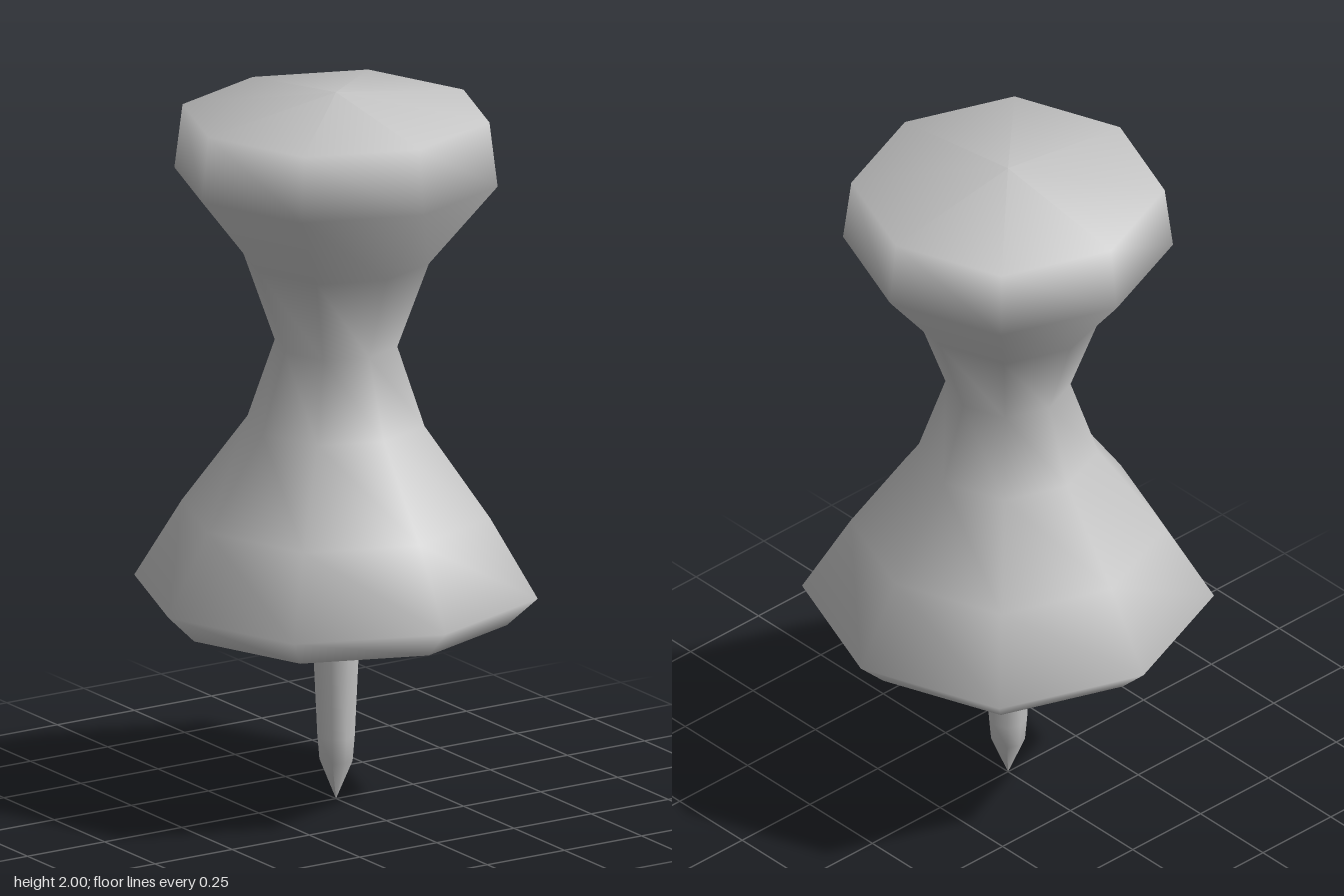
import * as THREE from 'three';

const SIDES = 8;

// Eight-sided turned part; profile runs bottom to top, diagonal corners can be pushed out.
function turned(name, profile, material, diagonal = 1) {
  const geo = new THREE.LatheGeometry(profile.map(([r, y]) => new THREE.Vector2(r, y)), SIDES);
  const pos = geo.attributes.position;
  const rows = profile.length;
  for (let i = 0; i < pos.count; i++) {
    if (Math.floor(i / rows) % 2 === 1) {
      pos.setX(i, pos.getX(i) * diagonal);
      pos.setZ(i, pos.getZ(i) * diagonal);
    }
  }
  const mesh = new THREE.Mesh(geo, material);
  mesh.name = name;
  return mesh;
}

export function createModel() {
  const group = new THREE.Group();
  group.name = 'pushPin';
  const grey = new THREE.MeshStandardMaterial({ color: 0xc4c4c4 });
  grey.name = 'lightGrey';

  // Waisted grip: bevelled flange, narrow neck, flared head with a shallow peak
  group.add(turned('grip', [
    [0.46, 0.52], [0.543, 0.6], [0.415, 0.82], [0.238, 1.07], [0.165, 1.29],
    [0.25, 1.53], [0.435, 1.76], [0.413, 1.94], [0, 2.0],
  ], grey, 1.03));

  // Dished underside with a socket around the needle
  group.add(turned('underside', [[0.22, 0.58], [0.46, 0.52]], grey, 1.03));
  group.add(turned('socket', [[0, 0.76], [0.2, 0.76], [0.22, 0.58]], grey, 1.03));

  // Tapered needle
  group.add(turned('needle', [[0, 0], [0.046, 0.11], [0.052, 0.18], [0.068, 0.52], [0.075, 0.76]], grey));

  return group;
}
